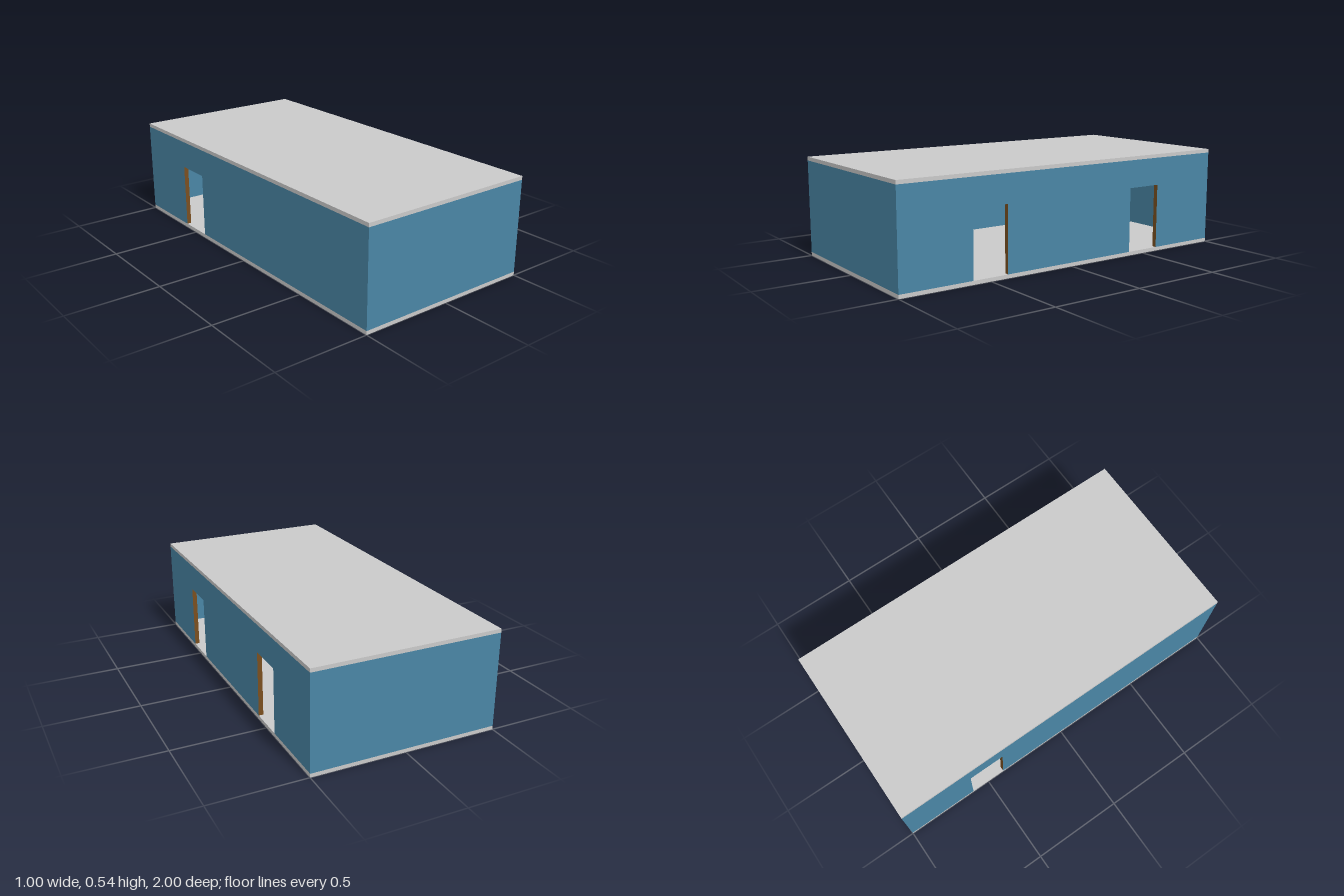
import * as THREE from 'three';

const WIDTH = 1, LENGTH = 2, SLAB = 0.02, WALL_HEIGHT = 0.5, WALL = 0.025;
const DOOR_WIDTH = 0.2, DOOR_HEIGHT = 0.35;

function flat(name, color) {
  const material = new THREE.MeshStandardMaterial({ color });
  material.name = name;
  return material;
}

export function createModel() {
  const concrete = flat('pale grey concrete', 0xcacaca);
  const paint = flat('blue wall paint', 0x4a86a5);
  const wood = flat('brown door lining', 0x7a4f1f);
  const group = new THREE.Group();
  group.name = 'building';

  function add(name, geometry, material, x, y, z) {
    const mesh = new THREE.Mesh(geometry, material);
    mesh.name = name;
    mesh.position.set(x, y, z);
    group.add(mesh);
  }

  // Floor and roof slabs
  const slab = new THREE.BoxGeometry(WIDTH, SLAB, LENGTH);
  add('floorSlab', slab, concrete, 0, SLAB / 2, 0);
  add('roofSlab', slab, concrete, 0, SLAB * 1.5 + WALL_HEIGHT, 0);

  // Solid end walls
  const endWall = new THREE.BoxGeometry(WIDTH, WALL_HEIGHT, WALL);
  const endZ = (LENGTH - WALL) / 2;
  add('frontWall', endWall, paint, 0, SLAB + WALL_HEIGHT / 2, endZ);
  add('backWall', endWall, paint, 0, SLAB + WALL_HEIGHT / 2, -endZ);

  // Long wall with doorways cut up from the floor; its cut edges are the linings
  function sideWall(doors) {
    const half = LENGTH / 2 - WALL;
    const shape = new THREE.Shape();
    shape.moveTo(-half, 0);
    for (const z of doors) {
      const a = z - DOOR_WIDTH / 2, b = z + DOOR_WIDTH / 2;
      shape.lineTo(a, 0);
      shape.lineTo(a, DOOR_HEIGHT);
      shape.lineTo(b, DOOR_HEIGHT);
      shape.lineTo(b, 0);
    }
    shape.lineTo(half, 0);
    shape.lineTo(half, WALL_HEIGHT);
    shape.lineTo(-half, WALL_HEIGHT);
    shape.closePath();
    return new THREE.ExtrudeGeometry(shape, { depth: WALL, bevelEnabled: false })
      .rotateY(-Math.PI / 2);
  }

  // Two doorways on the +x side, one on the -x side
  add('leftWall', sideWall([-0.5, 0.5]), [paint, wood], WIDTH / 2, SLAB, 0);
  add('rightWall', sideWall([-0.5]), [paint, wood], -WIDTH / 2 + WALL, SLAB, 0);

  return group;
}
